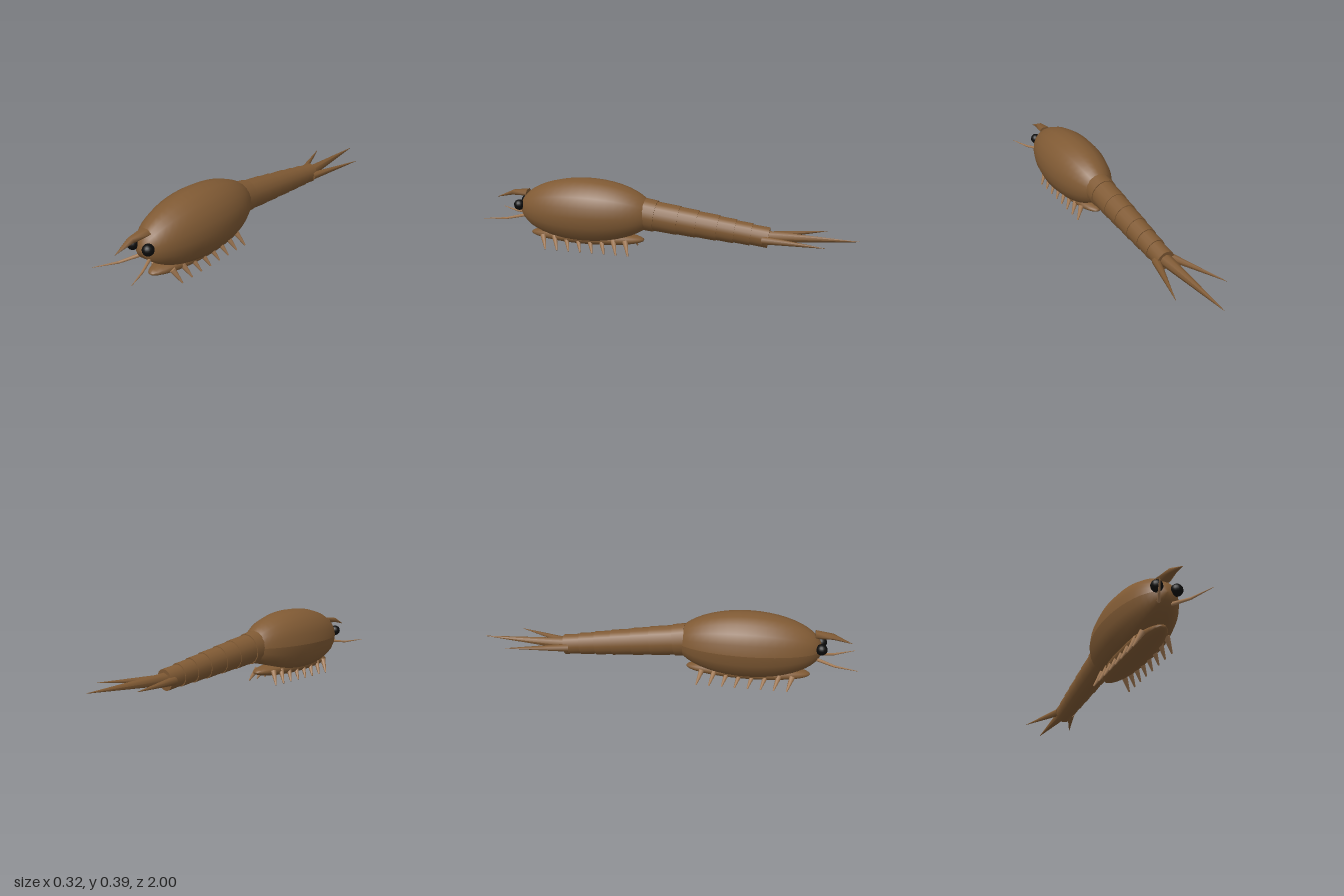
import * as THREE from 'three';

const shell = new THREE.MeshStandardMaterial({ name: 'shellBrown', color: 0x805a34 });
const limb = new THREE.MeshStandardMaterial({ name: 'limbTan', color: 0xa67c55 });
const black = new THREE.MeshStandardMaterial({ name: 'eyeBlack', color: 0x0b0b0b });

const v = (x, y, z) => new THREE.Vector3(x, y, z);

function add(parent, name, geometry, material) {
  const mesh = new THREE.Mesh(geometry, material);
  mesh.name = name;
  parent.add(mesh);
  return mesh;
}

// Frustum running from point a (radius ra) to point b (radius rb)
function taper(parent, name, a, b, ra, rb, sides, material) {
  const dir = b.clone().sub(a);
  const mesh = add(parent, name, new THREE.CylinderGeometry(rb, ra, dir.length(), sides), material);
  mesh.position.copy(a).add(b).multiplyScalar(0.5);
  mesh.quaternion.setFromUnitVectors(v(0, 1, 0), dir.normalize());
  return mesh;
}

// Ellipsoid with its poles along z
function ellipsoid(rx, ry, rz, sides, rings) {
  return new THREE.SphereGeometry(1, sides, rings).rotateX(Math.PI / 2).scale(rx, ry, rz);
}

export function createModel() {
  const model = new THREE.Group();
  model.name = 'shrimp';

  // Carapace: long ellipsoid whose underside is flattened in each section
  const body = ellipsoid(1, 1, 1, 20, 24);
  const p = body.attributes.position;
  for (let i = 0; i < p.count; i++) {
    const r = Math.hypot(p.getX(i), p.getY(i));
    p.setY(i, Math.max(p.getY(i), -0.78 * r));
  }
  body.scale(0.16, 0.18, 0.38);
  body.computeVertexNormals();
  add(model, 'carapace', body, shell).position.set(0, 0.212, 0.44);

  // Belly keel
  add(model, 'belly', ellipsoid(0.085, 0.04, 0.325, 12, 16), shell).position.set(0, 0.069, 0.445);

  // Overlapping abdomen rings, each flaring toward the rear
  const cuts = [0.11, -0.07, -0.17, -0.28, -0.37, -0.455, -0.545];
  const axisY = (z) => 0.208 + 0.118 * (z - 0.05);
  for (let i = 0; i < 6; i++) {
    const z0 = cuts[i] + 0.012, z1 = cuts[i + 1];
    const r0 = 0.073 - i * 0.0048, r1 = 0.071 - i * 0.0043;
    const ring = taper(model, 'abdomenRing' + (i + 1), v(0, axisY(z0), z0), v(0, axisY(z1), z1), r0, r1, 16, shell);
    ring.scale.z = 1.1;
  }
  // Collar joining abdomen to carapace
  taper(model, 'abdomenCollar', v(0, 0.217, 0.12), v(0, 0.208, 0.055), 0.079, 0.077, 16, shell).scale.z = 1.1;

  // Tail spines
  taper(model, 'tailSpine', v(0, 0.142, -0.52), v(0, 0.153, -1), 0.034, 0.001, 8, shell);

  // Rostrum: flattened hexagonal horn bending downward
  const bends = [[0.78, 0.293, 0.037, 0.019], [0.87, 0.287, 0.024, 0.014], [0.965, 0.255, 0.001, 0.001]];
  const rostrum = new THREE.CylinderGeometry(1, 1, 1, 6, 2).rotateY(Math.PI / 6).rotateX(Math.PI / 2);
  const q = rostrum.attributes.position;
  for (let i = 0; i < q.count; i++) {
    const [z, y, rx, ry] = bends[Math.round((q.getZ(i) + 0.5) * 2)];
    q.setXYZ(i, q.getX(i) * rx, y + q.getY(i) * ry, z);
  }
  rostrum.computeVertexNormals();
  add(model, 'rostrum', rostrum, shell);

  for (const side of [1, -1]) {
    const label = side > 0 ? 'left' : 'right';

    taper(model, label + 'TailFan', v(side * 0.038, 0.135, -0.52), v(side * 0.14, 0.152, -0.835), 0.022, 0.001, 8, shell);

    const eye = add(model, label + 'Eye', new THREE.SphereGeometry(0.029, 16, 12), black);
    eye.position.set(side * 0.049, 0.232, 0.815);

    // Feeler: gently bent tapering whip
    const path = [v(0.03, 0.17, 0.79), v(0.075, 0.157, 0.885), v(0.125, 0.163, 0.995)];
    path.forEach((a) => { a.x *= side; });
    const feeler = new THREE.Group();
    feeler.name = label + 'Feeler';
    model.add(feeler);
    taper(feeler, 'feelerBase', path[0], path[1], 0.009, 0.006, 6, limb);
    taper(feeler, 'feelerTip', path[1], path[2], 0.006, 0.001, 6, limb);

    // Eight short legs
    for (let i = 0; i < 8; i++) {
      const z = 0.68 - i * 0.067;
      taper(model, label + 'Leg' + (i + 1), v(side * 0.058, 0.073, z), v(side * 0.096, 0.003, z - 0.025), 0.016, 0.004, 8, limb);
    }
  }
  return model;
}
